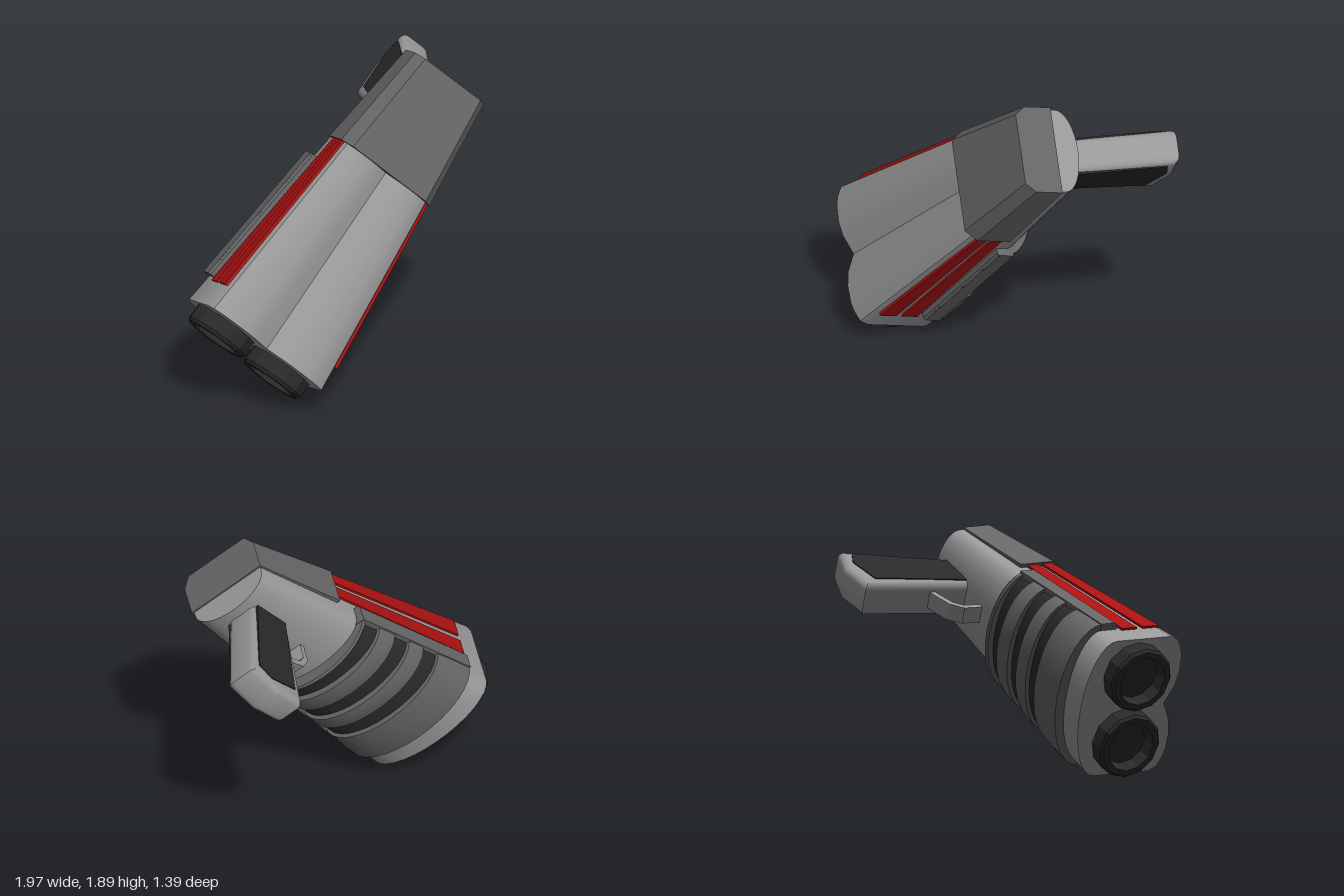
import * as THREE from 'three';
import { toCreasedNormals } from 'three/addons/utils/BufferGeometryUtils.js';

const mat = (color, extra = {}) => new THREE.MeshStandardMaterial({ color, ...extra });
const lerp = THREE.MathUtils.lerp;

// Solid skinned over counter-clockwise [x, y] outlines placed along z (rear to front).
function loft(sections) {
  const v = [];
  const put = (p, z) => v.push(p[0], p[1], z);
  for (let i = 0; i + 1 < sections.length; i++) {
    const [a, b] = [sections[i], sections[i + 1]];
    const n = a.pts.length;
    for (let j = 0; j < n; j++) {
      const k = (j + 1) % n;
      put(a.pts[j], a.z); put(a.pts[k], a.z); put(b.pts[k], b.z);
      put(a.pts[j], a.z); put(b.pts[k], b.z); put(b.pts[j], b.z);
    }
  }
  const cap = (s, flip) => {
    const contour = s.pts.map(p => new THREE.Vector2(p[0], p[1]));
    for (const f of THREE.ShapeUtils.triangulateShape(contour, [])) {
      for (const i of flip ? [f[0], f[2], f[1]] : f) put(s.pts[i], s.z);
    }
  };
  cap(sections[0], true);
  cap(sections[sections.length - 1], false);
  const g = new THREE.BufferGeometry();
  g.setAttribute('position', new THREE.Float32BufferAttribute(v, 3));
  return toCreasedNormals(g, 0.55);
}

// Side-view outline of [z, y] points, extruded across x and centred on it.
function sideExtrude(points, width, bevel = 0) {
  const shape = new THREE.Shape(points.map(p => new THREE.Vector2(p[0], p[1])));
  const depth = width - 2 * bevel;
  const g = new THREE.ExtrudeGeometry(shape, {
    depth, bevelEnabled: bevel > 0, bevelThickness: bevel,
    bevelSize: bevel, bevelOffset: -bevel, bevelSegments: 3,
  });
  g.translate(0, 0, -depth / 2);
  g.rotateY(-Math.PI / 2);
  return toCreasedNormals(g, 0.55);
}

const mirror = pts => pts.map(p => [-p[0], p[1]]).reverse();

// Body proportions at a station along the length
const REAR = -1.67, FRONT = 0.226;
function station(z) {
  const t = (z - REAR) / (FRONT - REAR);
  return {
    w: lerp(0.25, 0.43, t), top: lerp(0.665, 0.815, t), c: lerp(0.42, 0.35, t),
    b: lerp(0.12, 0.17, t), k: lerp(0.6, 1, t),
  };
}

// Lower half-ellipse, from left to right
function belly(w, c, b, n = 16) {
  return Array.from({ length: n + 1 }, (_, i) => {
    const a = Math.PI * (1 + i / n);
    return [w * Math.cos(a), c + b * Math.sin(a)];
  });
}

// Twin-humped top with a valley, flat sides and a round underside
function bodySection(z) {
  const { w, top, c, b, k } = station(z);
  const hump = [[1, 0.1], [0.95, 0.05], [0.82, 0.02], [0.7, 0.005], [0.46, 0], [0.26, 0.015]]
    .map(([f, d]) => [f * w, top - d * k]);
  return { z, pts: [...belly(w, c, b), ...hump, [0, top - 0.07 * k], ...mirror(hump)] };
}

// Sleeve around the lower body
function sleeveSection(z, side, drop) {
  const { w, c, b } = station(z);
  const h = w + side;
  return { z, pts: [...belly(h, c, b + drop), [h, 0.44], [-h, 0.44]] };
}

export function createModel() {
  const model = new THREE.Group();
  const blaster = new THREE.Group();
  blaster.name = 'blaster';
  model.add(blaster);

  const light = mat(0x999999), mid = mat(0x666666), dark = mat(0x2a2a2a), red = mat(0xaa1111);
  const add = (name, geometry, material) => {
    const m = new THREE.Mesh(geometry, material);
    m.name = name;
    blaster.add(m);
    return m;
  };

  add('body', loft([bodySection(REAR), bodySection(FRONT)]), light);

  // Rear hood with bevelled shoulders
  const hood = (z, w, low, shoulder, flat, top) => {
    const half = [[w, low], [w, shoulder], [flat, top]];
    return { z, pts: [...half, ...mirror(half)] };
  };
  add('hood', loft([
    hood(-1.68, 0.26, 0.45, 0.625, 0.21, 0.69),
    hood(-1.015, 0.335, 0.44, 0.66, 0.276, 0.737),
  ]), mid);

  // Red side stripes, two per side: [rear low, rear high, front low, front high]
  const stripes = [[0.585, 0.65, 0.615, 0.722], [0.485, 0.555, 0.475, 0.575]];
  for (const [r0, r1, f0, f1] of stripes) {
    const rect = (z, lo, hi) => {
      const w = station(z).w;
      return { z, pts: [[w - 0.04, lo], [w + 0.013, lo], [w + 0.013, hi], [w - 0.04, hi]] };
    };
    const secs = [rect(-1.03, r0, r1), rect(0.07, f0, f1)];
    add('leftStripe', loft(secs), red);
    add('rightStripe', loft(secs.map(s => ({ z: s.z, pts: mirror(s.pts) }))), red);
  }

  // Foregrip: dark core, raised ribs and a rail on each side
  add('foregripCore', loft([sleeveSection(-0.86, 0.02, 0.025), sleeveSection(0.03, 0.02, 0.04)]), dark);
  for (const [z0, z1] of [[-0.867, -0.84], [-0.72, -0.59], [-0.47, -0.35], [-0.23, 0.04]]) {
    add('foregripRib', loft([
      sleeveSection(z0, 0.038, 0.065),
      sleeveSection((z0 + z1) / 2, 0.04, 0.075),
      sleeveSection(z1, 0.038, 0.06),
    ]), mid);
  }
  const rail = z => {
    const w = station(z).w;
    return { z, pts: [[w - 0.03, 0.345], [w + 0.043, 0.345], [w + 0.043, 0.435], [w + 0.03, 0.452], [w - 0.03, 0.452]] };
  };
  const rails = [rail(-0.87), rail(0.045)];
  add('leftRail', loft(rails), mid);
  add('rightRail', loft(rails.map(s => ({ z: s.z, pts: mirror(s.pts) }))), mid);

  // Twin muzzles
  const ring = [[0.195, 0.15], [0.2, 0.22], [0.2, 0.315], [0.185, 0.335], [0.15, 0.335], [0.14, 0.25], [0, 0.25]];
  const muzzleGeo = new THREE.LatheGeometry(ring.map(p => new THREE.Vector2(p[0], p[1])), 12);
  muzzleGeo.rotateX(Math.PI / 2);
  const muzzleMat = mat(0x2a2a2a, { flatShading: true, side: THREE.DoubleSide });
  for (const side of [1, -1]) {
    add(side > 0 ? 'leftMuzzle' : 'rightMuzzle', muzzleGeo, muzzleMat).position.set(0.21 * side, 0.5, 0);
  }

  // Handle with inset side panels
  add('handle', sideExtrude([
    [-1.27, 0.36], [-1.28, 0.27], [-1.385, -0.345], [-1.61, -0.357], [-1.83, -0.275], [-1.6, 0.29], [-1.58, 0.36],
  ], 0.21, 0.045), light);
  add('handlePanels', sideExtrude([
    [-1.312, 0.3], [-1.437, -0.26], [-1.66, -0.28], [-1.765, -0.226], [-1.567, 0.325],
  ], 0.222), dark);

  // Trigger guard
  add('triggerGuard', sideExtrude([
    [-1.07, 0.32], [-1.08, 0.15], [-1.145, 0.085], [-1.28, 0.055], [-1.36, 0.05],
    [-1.36, 0.085], [-1.28, 0.09], [-1.165, 0.118], [-1.115, 0.165], [-1.105, 0.32],
  ], 0.1), light);

  // Tilt the whole piece: muzzles down to the right, handle to the back
  const across = new THREE.Vector3(0.691, -0.65, 0.316).normalize();
  const forward = across.clone().cross(new THREE.Vector3(-0.161, 0.289, 0.944)).normalize();
  const up = forward.clone().cross(across);
  blaster.quaternion.setFromRotationMatrix(new THREE.Matrix4().makeBasis(across, up, forward));
  blaster.position.copy(across).multiplyScalar(-0.568);
  return model;
}
